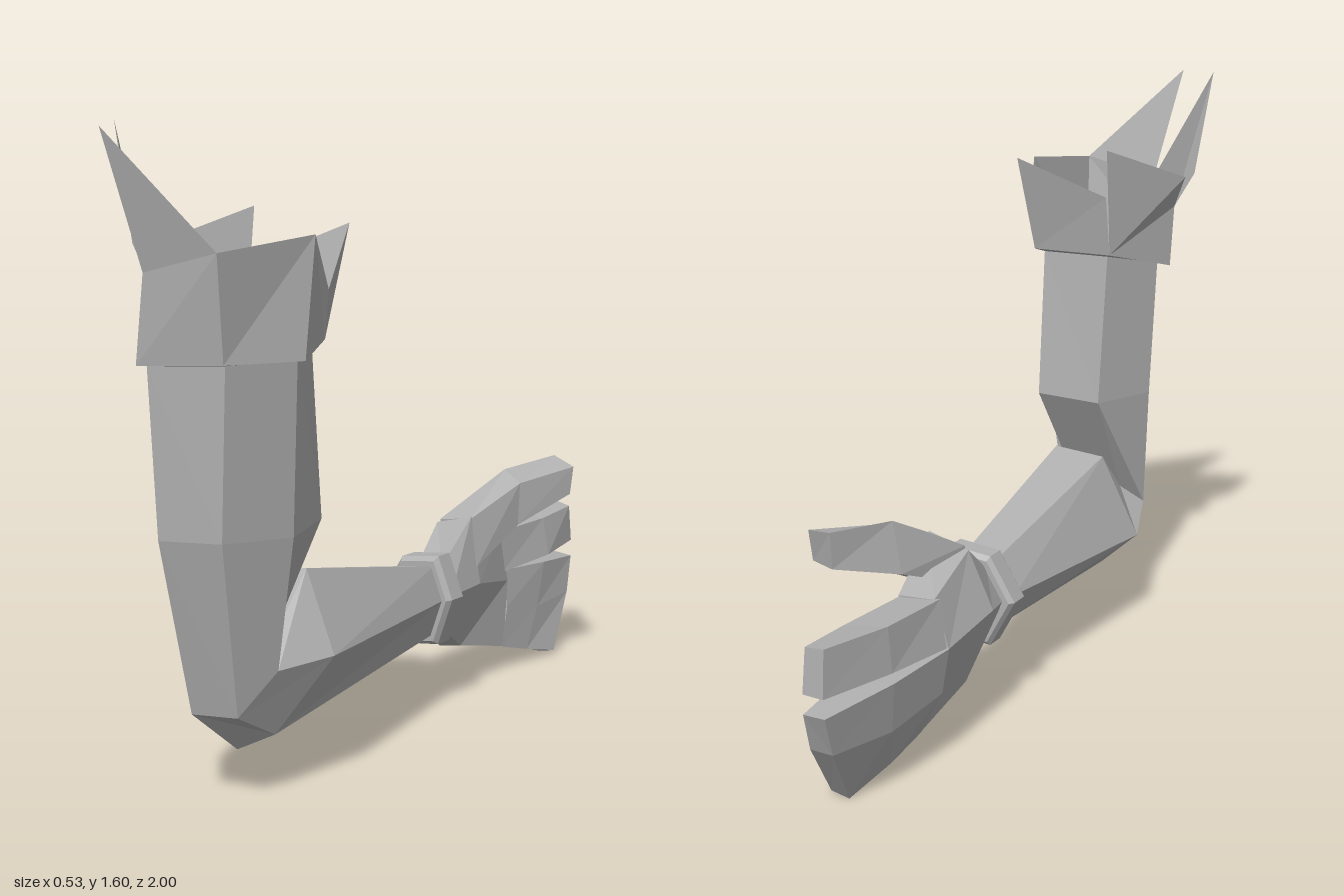
import * as THREE from 'three';

const stone = new THREE.MeshStandardMaterial({ color: 0xb0b0b0, side: THREE.DoubleSide });
stone.name = 'plain grey';

// Faceted mesh from a list of convex polygons
function facets(name, polygons) {
  const pos = [];
  for (const p of polygons) {
    for (let i = 1; i < p.length - 1; i++) pos.push(...p[0], ...p[i], ...p[i + 1]);
  }
  const geo = new THREE.BufferGeometry();
  geo.setAttribute('position', new THREE.Float32BufferAttribute(pos, 3));
  geo.computeVertexNormals();
  const mesh = new THREE.Mesh(geo, stone);
  mesh.name = name;
  return mesh;
}

// Skin between successive rings of equal point count, optionally capped
function loft(name, rings, capStart = false, capEnd = false) {
  const polys = [];
  for (let r = 0; r < rings.length - 1; r++) {
    const a = rings[r], b = rings[r + 1], n = a.length;
    for (let j = 0; j < n; j++) {
      const k = (j + 1) % n;
      polys.push([a[j], b[j], b[k], a[k]]);
    }
  }
  if (capStart) polys.push(rings[0]);
  if (capEnd) polys.push([...rings[rings.length - 1]].reverse());
  return facets(name, polys);
}

// Ring scaled about its centre in x and y, placed at depth z
function bandRing(ring, scale, z) {
  const cx = -0.005, cy = 0.307;
  return ring.map(([x, y]) => [cx + (x - cx) * scale, cy + (y - cy) * scale, z]);
}

export function createModel() {
  const group = new THREE.Group();
  group.name = 'bentArm';

  // Upper arm, open at the top
  const shoulder = [[-0.03, 1.06, 0.91], [0.18, 1.07, 0.89], [0.235, 1.07, 0.7],
    [0.17, 1.09, 0.56], [-0.03, 1.09, 0.56], [-0.11, 1.05, 0.74]];
  const biceps = [[-0.01, 0.66, 0.905], [0.165, 0.67, 0.89], [0.22, 0.66, 0.7],
    [0.17, 0.67, 0.525], [-0.02, 0.66, 0.53], [-0.1, 0.66, 0.72]];
  const elbow = [[0, 0.23, 0.81], [0.13, 0.24, 0.8], [0.18, 0.34, 0.71],
    [0.13, 0.36, 0.7], [-0.02, 0.36, 0.7], [-0.08, 0.31, 0.74]];
  group.add(loft('upperArm', [shoulder, biceps, elbow]));

  // Forearm continues from the elbow to the wrist
  const forearm = [[0.03, 0.115, 0.68], [0.13, 0.165, 0.66], [0.21, 0.34, 0.53],
    [0.09, 0.53, 0.48], [-0.05, 0.51, 0.5], [-0.155, 0.28, 0.52]];
  const wrist = [[-0.04, 0.21, -0.15], [0.05, 0.22, -0.15], [0.085, 0.32, -0.15],
    [0.05, 0.41, -0.15], [-0.04, 0.4, -0.15], [-0.095, 0.31, -0.15]];
  group.add(loft('forearm', [elbow, forearm, wrist]));

  // Wrist band with bevelled edges
  group.add(loft('wristBand', [[0.95, -0.135], [1.18, -0.135], [1.3, -0.15], [1.3, -0.205],
    [1.18, -0.218], [0.85, -0.218]].map(([s, z]) => bandRing(wrist, s, z))));

  // Palm
  const palmStart = bandRing(wrist, 0.9, -0.2);
  const palm = [[-0.05, 0.13, -0.34], [0.02, 0.14, -0.34], [0.085, 0.33, -0.34],
    [0.06, 0.52, -0.33], [-0.06, 0.49, -0.34], [-0.13, 0.34, -0.34]];
  const knuckles = [[-0.05, 0.085, -0.58], [0.02, 0.085, -0.58], [0.02, 0.28, -0.6],
    [0.01, 0.435, -0.57], [-0.09, 0.44, -0.57], [-0.13, 0.32, -0.57]];
  group.add(loft('palm', [palmStart, palm, knuckles], false, true));

  // Thumb
  group.add(loft('thumb', [
    [[-0.05, 0.4, -0.34], [0.08, 0.38, -0.33], [0.06, 0.515, -0.33], [-0.05, 0.5, -0.34]],
    [[0, 0.49, -0.57], [0.1, 0.47, -0.52], [0.1, 0.59, -0.53], [0.03, 0.62, -0.56]],
    [[0.08, 0.55, -0.755], [0.17, 0.54, -0.7], [0.175, 0.62, -0.71], [0.085, 0.64, -0.755]],
  ], true, true));

  // Index finger
  group.add(loft('indexFinger', [
    [[-0.125, 0.32, -0.56], [0.02, 0.31, -0.57], [0.01, 0.43, -0.56], [-0.1, 0.44, -0.56]],
    [[-0.095, 0.33, -0.78], [0.045, 0.325, -0.8], [0.025, 0.435, -0.8], [-0.085, 0.445, -0.78]],
    [[-0.045, 0.34, -1], [0.02, 0.335, -0.985], [0.02, 0.445, -0.97], [-0.04, 0.455, -0.985]],
  ], true, true));

  // Remaining fingers held together as one curved block
  group.add(loft('joinedFingers', [
    [[-0.05, 0.085, -0.57], [0.02, 0.085, -0.57], [0.02, 0.2, -0.6],
      [0.01, 0.31, -0.6], [-0.13, 0.32, -0.57], [-0.11, 0.2, -0.57]],
    [[-0.04, 0.055, -0.7], [0.03, 0.05, -0.7], [0.03, 0.17, -0.76],
      [0.03, 0.3, -0.8], [-0.1, 0.305, -0.78], [-0.08, 0.17, -0.76]],
    [[0, 0.01, -0.83], [0.05, 0.02, -0.83], [0.03, 0.18, -0.945],
      [0.02, 0.285, -0.985], [-0.045, 0.29, -0.995], [-0.035, 0.18, -0.95]],
  ], true, true));

  // Torn cuff: ledge around the arm, then one jagged panel per side
  const rim = [[-0.04, 1.06, 0.935], [0.2, 1.075, 0.92], [0.265, 1.07, 0.71],
    [0.19, 1.1, 0.535], [-0.05, 1.1, 0.53], [-0.15, 1.045, 0.74]];
  group.add(loft('cuffLedge', [rim, shoulder]));

  const [A, B, C, D, E, F] = rim;
  const aTop = [-0.01, 1.27, 0.94], bTop = [0.21, 1.32, 0.95], cTop = [0.25, 1.35, 0.65];
  const fTop = [-0.16, 1.22, 0.74], dTip = [0.215, 1.37, 0.47];
  group.add(facets('cuffPanels', [
    [A, B, bTop, aTop], [aTop, bTop, [-0.075, 1.59, 1]],
    [B, C, cTop, bTop],
    [D, dTip, [0.22, 1.22, 0.56], cTop, C],
    [D, E, [-0.05, 1.27, 0.5], dTip],
    [E, F, fTop, [-0.2, 1.31, 0.72], [-0.06, 1.405, 0.48]],
    [F, A, aTop, fTop], [fTop, aTop, [-0.27, 1.61, 0.74], [-0.22, 1.32, 0.74]],
  ]));

  return group;
}
